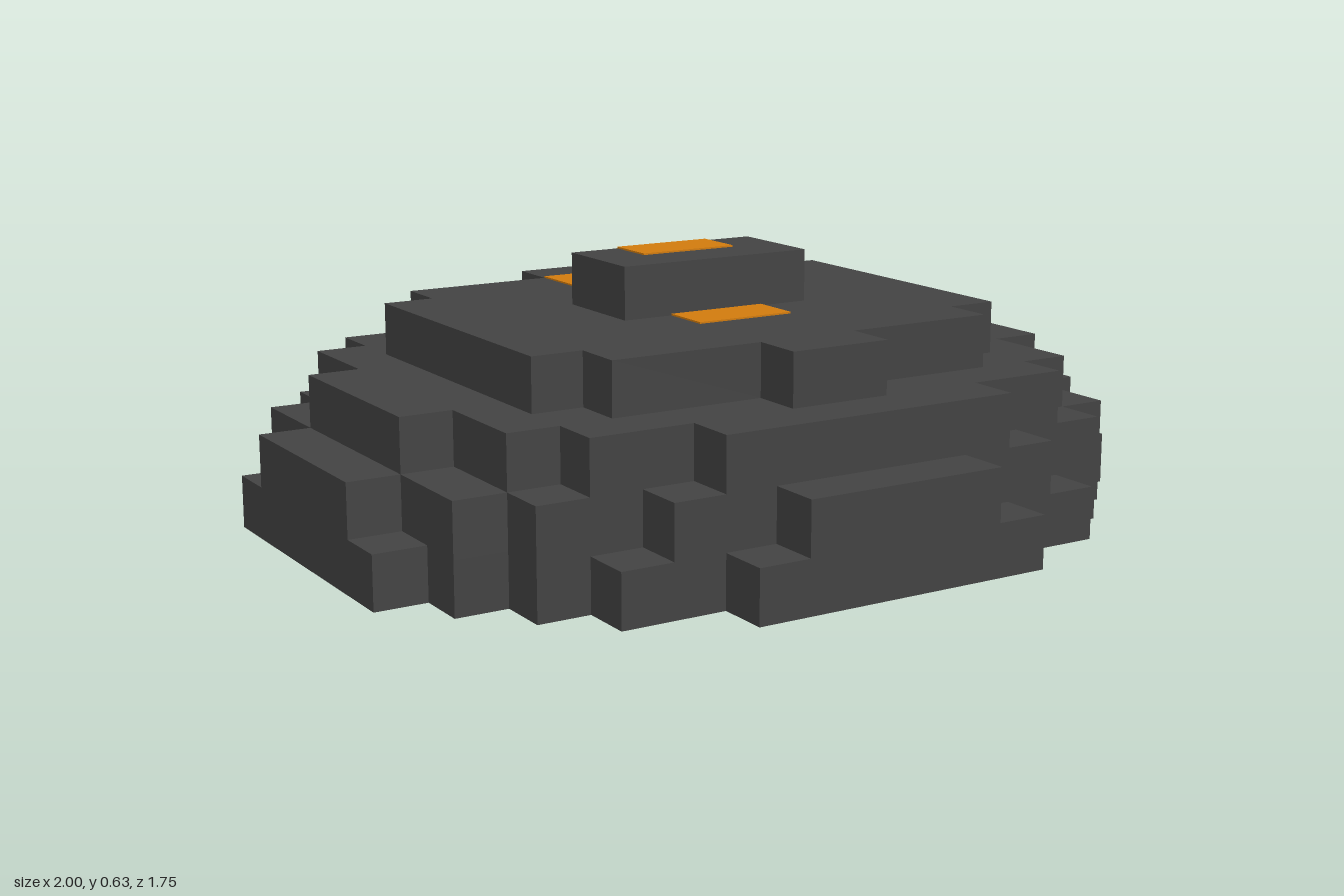
import * as THREE from 'three';

const U = 0.125; // one block

// Stepped quarter outlines, from the inside to the outside: [half width in x, half depth in z]
const TIERS = [
  ['baseTier', [[3, 7], [5, 6], [6, 5], [7, 4], [8, 3]]],
  ['lowerTier', [[2, 7], [4, 6], [6, 5], [7, 4], [8, 2]]],
  ['middleTier', [[3, 6], [5, 5], [6, 4], [7, 2]]],
  ['upperTier', [[1, 5], [4, 4], [5, 3]]],
  ['topBlock', [[2, 1]]],
];

// Mirrors the quarter staircase into a closed outline
function steppedShape(steps) {
  const quarter = [];
  steps.forEach(([x, z], i) => {
    if (i > 0) quarter.push([steps[i - 1][0], z]);
    quarter.push([x, z]);
  });
  const back = [...quarter].reverse();
  const outline = [
    ...quarter,
    ...back.map(([x, z]) => [x, -z]),
    ...quarter.map(([x, z]) => [-x, -z]),
    ...back.map(([x, z]) => [-x, z]),
  ];
  return new THREE.Shape(outline.map(([x, z]) => new THREE.Vector2(x * U, z * U)));
}

export function createModel() {
  const group = new THREE.Group();
  const darkGrey = new THREE.MeshStandardMaterial({ color: 0x444444 });
  darkGrey.name = 'darkGrey';
  const orange = new THREE.MeshStandardMaterial({ color: 0xd47d0e });
  orange.name = 'orange';

  // Stacked tiers, one block high each
  TIERS.forEach(([name, steps], level) => {
    const geometry = new THREE.ExtrudeGeometry(steppedShape(steps), { depth: U, bevelEnabled: false });
    geometry.rotateX(-Math.PI / 2);
    const tier = new THREE.Mesh(geometry, darkGrey);
    tier.name = name;
    tier.position.y = level * U;
    group.add(tier);
  });

  // Orange stripe running over the top block and down its back
  const T = 0.004;
  const addPlate = (name, height, depth, y, z) => {
    const plate = new THREE.Mesh(new THREE.BoxGeometry(2 * U, height, depth), orange);
    plate.name = name;
    plate.position.set(0, y, z);
    group.add(plate);
  };
  addPlate('frontStripe', T, U, 4 * U + T / 2, 1.5 * U);
  addPlate('topStripe', T, U, 5 * U + T / 2, -0.5 * U);
  addPlate('backFaceStripe', U, T, 4.5 * U, -U - T / 2);
  addPlate('backStripe', T, 3 * U, 4 * U + T / 2, -2.5 * U);

  return group;
}
